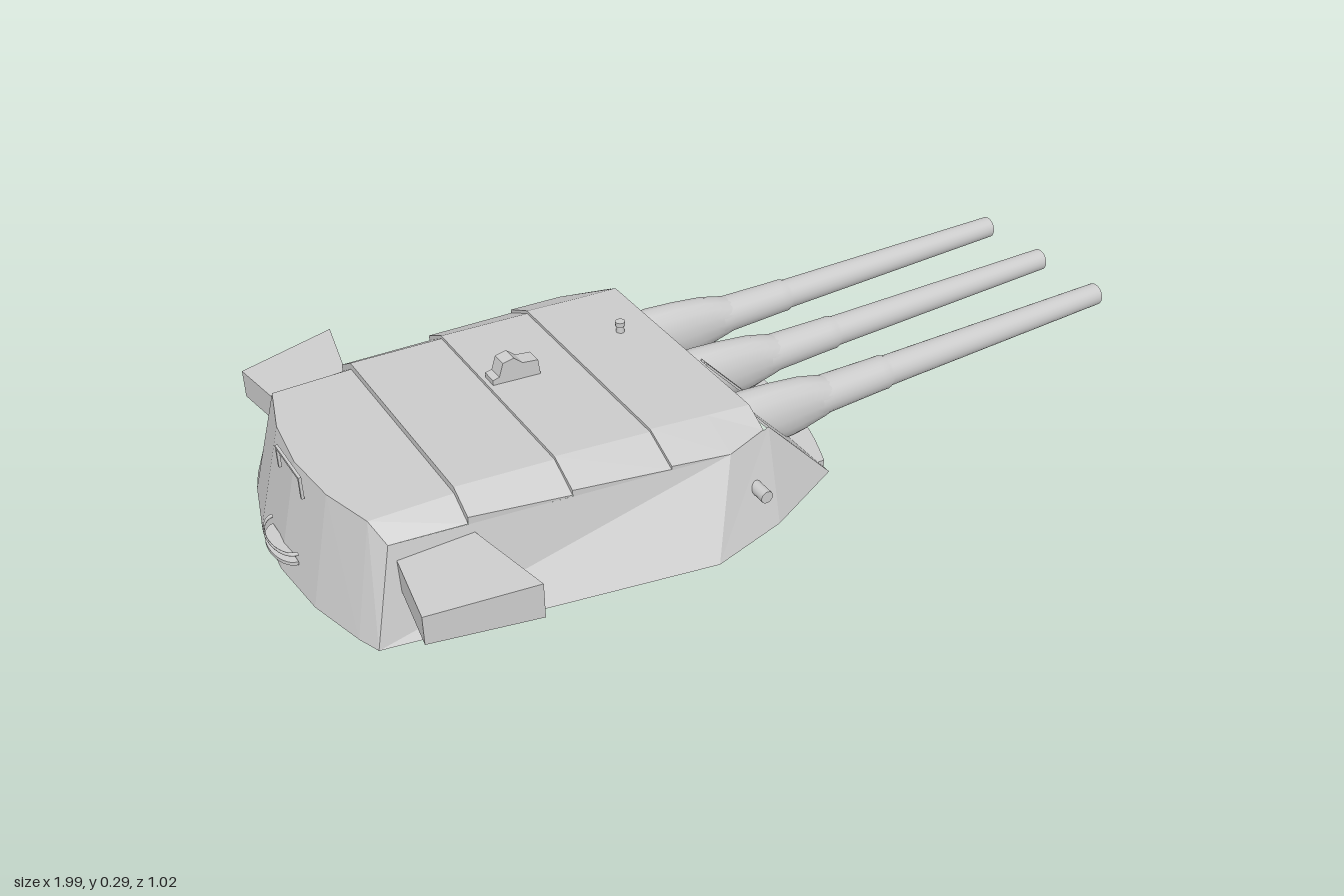
import * as THREE from 'three';
import { mergeVertices } from 'three/addons/utils/BufferGeometryUtils.js';

const grey = new THREE.MeshStandardMaterial({ color: 0xcccccc, side: THREE.DoubleSide });

// Skin between successive rings of [x, y, z] points
function loft(rings, { closed = false, capStart = false, capEnd = false, smooth = false } = {}) {
  const pos = [];
  const tri = (a, b, c) => pos.push(...a, ...b, ...c);
  const n = rings[0].length;
  for (let r = 0; r < rings.length - 1; r++) {
    for (let i = 0; i < (closed ? n : n - 1); i++) {
      const j = (i + 1) % n, A = rings[r], B = rings[r + 1];
      tri(A[i], A[j], B[j]);
      tri(A[i], B[j], B[i]);
    }
  }
  const first = rings[0], last = rings[rings.length - 1];
  for (let i = 1; i < n - 1; i++) {
    if (capStart) tri(first[0], first[i + 1], first[i]);
    if (capEnd) tri(last[0], last[i], last[i + 1]);
  }
  let g = new THREE.BufferGeometry();
  g.setAttribute('position', new THREE.Float32BufferAttribute(pos, 3));
  if (smooth) g = mergeVertices(g, 1e-5);
  g.computeVertexNormals();
  return g;
}

export function createModel() {
  const root = new THREE.Group();
  root.name = 'gunTurret';
  const add = (name, geo, x = 0, y = 0, z = 0, parent = root) => {
    const m = new THREE.Mesh(geo, grey);
    m.name = name;
    m.position.set(x, y, z);
    parent.add(m);
    return m;
  };
  const box = (w, h, d) => new THREE.BoxGeometry(w, h, d);

  // Side walls: lower and upper edge, from the rear corner to the front corner
  const sideBase = [[-0.91, 0, 0.325], [-0.235, 0, 0.455], [-0.06, 0, 0.41], [0.13, 0, 0.32]];
  const sideTop = [[-0.855, 0.205, 0.29], [-0.15, 0.18, 0.36], [-0.035, 0.183, 0.325], [-0.035, 0.183, 0.325]];
  const flip = ([x, y, z]) => [x, y, -z];
  add('leftWall', loft([sideTop, sideBase].map(r => [...r].reverse())));
  add('rightWall', loft([sideTop.map(flip), sideBase.map(flip)]));

  // Curved rear wall
  const us = [-1, -0.85, -0.45, 0, 0.45, 0.85, 1];
  const rearTop = us.map(u => [-0.92 + 0.065 * u * u, Math.abs(u) === 1 ? 0.205 : 0.24, 0.29 * u]);
  const rearBase = us.map(u => [-0.98 + 0.07 * u * u, 0, 0.325 * u]);
  add('rearWall', loft([rearBase, rearTop].map(r => [...r].reverse())));

  // Sloping front plate with cut upper corners
  const frontTop = [[-0.035, 0.183, -0.325], [-0.065, 0.215, -0.275], [-0.065, 0.215, 0.275], [-0.035, 0.183, 0.325]];
  const frontBase = [-0.32, -0.275, 0.275, 0.32].map(z => [0.13, 0, z]);
  add('frontPlate', loft([frontBase, frontTop]));

  // Overlapping roof plates, each with bevelled sides and a raised rear edge
  const section = (x, eaveZ, eaveY, roofZ, roofY) => us.map(u => {
    const s = Math.sign(u), a = Math.abs(u);
    return a === 1 ? [x, eaveY, s * eaveZ] : [x, roofY, a === 0.85 ? s * roofZ : roofZ * u / 0.85];
  });
  const plates = [
    [rearTop, section(-0.7, 0.305, 0.2, 0.25, 0.236)],
    [section(-0.7, 0.306, 0.216, 0.25, 0.251), section(-0.49, 0.326, 0.195, 0.257, 0.237)],
    [section(-0.49, 0.327, 0.207, 0.257, 0.244), section(-0.28, 0.347, 0.186, 0.265, 0.227)],
    [section(-0.28, 0.348, 0.194, 0.265, 0.234), section(-0.15, 0.36, 0.18, 0.27, 0.222),
      section(-0.05, 0.328, 0.183, 0.275, 0.214)],
  ];
  plates.forEach((rings, i) => {
    add('roofPlate', loft(rings));
    if (i) add('roofPlateRearEdge', loft([plates[i - 1].at(-1), rings[0]].map(r => [...r].reverse())));
    // Skirts closing the plate down to the wall
    for (const k of [0, us.length - 1]) {
      const edge = rings.map(r => r[k]);
      add('roofPlateSkirt', loft([edge, edge.map(([x, y, z]) => [x, Math.min(y, 0.205 - (x + 0.855) * 0.0355), z])]));
    }
  });

  // Curved sill below the guns
  const sill = new THREE.Shape();
  sill.moveTo(0.11, -0.3);
  sill.lineTo(0.13, -0.3);
  sill.quadraticCurveTo(0.26, 0, 0.13, 0.3);
  sill.lineTo(0.11, 0.3);
  add('frontSill', new THREE.ExtrudeGeometry(sill, { depth: 0.018, bevelEnabled: false, curveSegments: 16 })
    .rotateX(-Math.PI / 2));

  // Three guns: slanted cover blending into a stepped, tapering barrel
  const barrel = new THREE.LatheGeometry(
    [[0.045, 0.17], [0.043, 0.2], [0.039, 0.34], [0.039, 0.36], [0.035, 0.37], [0.026, 0.995]]
      .map(p => new THREE.Vector2(...p)), 24).rotateZ(-Math.PI / 2);
  const muzzle = new THREE.CircleGeometry(0.026, 24).rotateY(Math.PI / 2);
  // x, slant, centre y, half height, half width
  const coverRings = [
    [0.02, 0.88, 0.108, 0.073, 0.052], [0.05, 0.85, 0.109, 0.073, 0.052], [0.10, 0.6, 0.108, 0.069, 0.047],
    [0.15, 0.25, 0.107, 0.06, 0.044], [0.18, 0.05, 0.105, 0.05, 0.044], [0.205, 0, 0.105, 0.042, 0.042],
  ].map(([x, k, cy, ry, rz]) => Array.from({ length: 16 }, (_, i) => {
    const a = i / 16 * Math.PI * 2, dy = ry * Math.cos(a);
    return [x - k * dy, cy + dy, rz * Math.sin(a)];
  }));
  const cover = loft(coverRings, { closed: true, smooth: true });
  for (const z of [-0.196, 0, 0.196]) {
    const gun = new THREE.Group();
    gun.name = 'gun';
    gun.position.z = z;
    root.add(gun);
    add('gunCover', cover, 0, 0, 0, gun);
    add('barrel', barrel, 0, 0.105, 0, gun);
    add('muzzle', muzzle, 0.995, 0.105, 0, gun);
  }

  // Rangefinder hoods with a recessed window facing forward
  const quad = (xi, zi, xo, zo, y0, y1) => [[xi, y0, zi], [xo, y0, zo], [xo, y1, zo], [xi, y1, zi]];
  const hood = [
    quad(-0.84, 0.27, -0.87, 0.465, 0.105, 0.17), quad(-0.69, 0.31, -0.65, 0.51, 0.1, 0.18),
    quad(-0.665, 0.435, -0.652, 0.5, 0.11, 0.17), quad(-0.74, 0.44, -0.73, 0.485, 0.12, 0.16),
  ];
  for (const s of [1, -1]) {
    const rings = hood.map(r => r.map(([x, y, z]) => [x, y, s * z]));
    if (s < 0) rings.forEach(r => r.reverse());
    add('rangefinderHood', loft(rings, { closed: true, capStart: true, capEnd: true }));
    add('hoodBracket', box(0.012, 0.045, 0.05), -0.69, 0.1, s * 0.33);
    // Side sighting port
    add('sidePort', new THREE.CylinderGeometry(0.014, 0.014, 0.06, 14).rotateX(Math.PI / 2), -0.1, 0.09, s * 0.39);
  }

  // Roof periscope: stepped housing with a hooded head
  const scope = new THREE.Shape();
  [[-0.48, 0.23], [-0.48, 0.255], [-0.465, 0.258], [-0.455, 0.288], [-0.43, 0.293], [-0.41, 0.275], [-0.375, 0.27], [-0.37, 0.225]]
    .forEach(([x, y], i) => (i ? scope.lineTo(x, y) : scope.moveTo(x, y)));
  add('periscope', new THREE.ExtrudeGeometry(scope, { depth: 0.036, bevelEnabled: false }), 0, 0, -0.063);
  add('roofVent', new THREE.CylinderGeometry(0.007, 0.01, 0.03, 12), -0.138, 0.23, -0.1);
  add('roofVentCap', new THREE.CylinderGeometry(0.011, 0.011, 0.01, 12), -0.138, 0.242, -0.1);

  // Ladder on the front plate
  const ladder = new THREE.Group();
  ladder.name = 'frontLadder';
  ladder.position.set(0.04, 0.122, 0.1);
  ladder.rotation.z = Math.atan2(0.195, 0.215);
  root.add(ladder);
  for (const s of [-1, 1]) add('ladderRail', box(0.005, 0.265, 0.004), 0, 0, s * 0.011, ladder);
  for (let i = 0; i < 12; i++) add('ladderRung', box(0.004, 0.004, 0.022), 0, -0.12 + i * 0.0218, 0, ladder);

  // Rear step, its rail and the grab bar above
  const halfDisc = (r, h) => new THREE.CylinderGeometry(r, r, h, 16, 1, false, Math.PI, Math.PI).scale(0.5, 1, 1);
  add('rearStep', halfDisc(0.07, 0.008), -0.962, 0.055, 0);
  add('rearStepRail', new THREE.TorusGeometry(0.07, 0.004, 6, 16, Math.PI)
    .rotateX(Math.PI / 2).rotateY(Math.PI / 2).scale(-0.5, 1, 1), -0.961, 0.078, 0);
  for (const s of [-1, 1]) add('grabBarPost', box(0.006, 0.05, 0.006), -0.932, 0.22, s * 0.06);
  add('grabBar', box(0.006, 0.006, 0.126), -0.932, 0.243, 0);
  return root;
}
